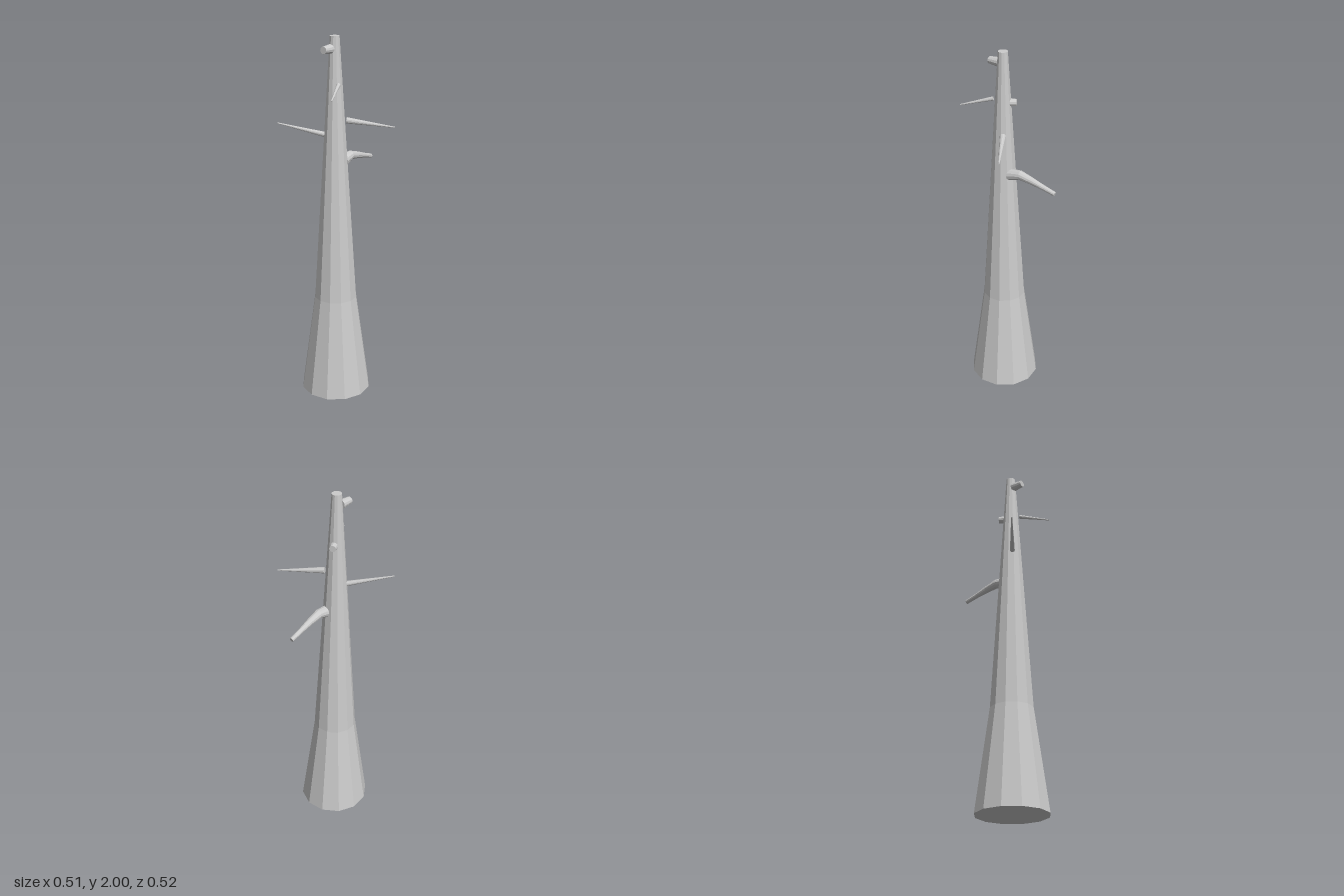
import * as THREE from 'three';

const material = new THREE.MeshStandardMaterial({ color: 0xcccccc, flatShading: true });
const UP = new THREE.Vector3(0, 1, 0);

// Capped, faceted limb through rings of [x, y, z, radius]
function limb(name, rings, sides = 12, turn = 0) {
  const last = rings.length - 1;
  const points = rings.map(([x, y, z]) => new THREE.Vector3(x, y, z));
  const turns = points.map((p, i) => {
    const dir = new THREE.Vector3();
    if (i > 0) dir.add(p.clone().sub(points[i - 1]).normalize());
    if (i < last) dir.add(points[i + 1].clone().sub(p).normalize());
    return new THREE.Quaternion().setFromUnitVectors(UP, dir.normalize());
  });

  // Move each ring of a unit cylinder to its place along the limb
  const cylinder = new THREE.CylinderGeometry(1, 1, 1, sides, last, false, turn);
  const pos = cylinder.attributes.position;
  const v = new THREE.Vector3();
  for (let k = 0; k < pos.count; k++) {
    const i = Math.round((pos.getY(k) + 0.5) * last);
    const r = rings[i][3];
    v.set(pos.getX(k) * r, 0, pos.getZ(k) * r).applyQuaternion(turns[i]).add(points[i]);
    pos.setXYZ(k, v.x, v.y, v.z);
  }
  const geometry = cylinder.toNonIndexed();
  geometry.computeVertexNormals();
  const mesh = new THREE.Mesh(geometry, material);
  mesh.name = name;
  return mesh;
}

export function createModel() {
  const model = new THREE.Group();
  model.name = 'deadTree';

  // Trunk with a flared foot
  const cx = -0.015, cz = 0.068;
  model.add(limb('trunk', [
    [cx, 0, cz, 0.195],
    [cx, 0.56, cz, 0.118],
    [cx, 2, cz, 0.026],
  ], 12, THREE.MathUtils.degToRad(20.4)));

  // Thick bent branch at the back
  model.add(limb('bentBranch', [
    [0.003, 1.335, 0.02, 0.032],
    [0.001, 1.348, -0.05, 0.025],
    [-0.001, 1.333, -0.12, 0.019],
    [-0.004, 1.314, -0.19, 0.014],
    [-0.006, 1.295, -0.26, 0.012],
  ]));

  // Thin pointed branches
  model.add(limb('leftBranch', [[0.036, 1.562, 0.036, 0.017], [0.255, 1.53, -0.09, 0.003]]));
  model.add(limb('rightBranch', [[-0.056, 1.488, 0.107, 0.014], [-0.255, 1.55, 0.25, 0.003]]));
  model.add(limb('frontBranch', [[0.03, 1.757, 0.098, 0.011], [0.1, 1.71, 0.257, 0.003]]));

  // Short broken stubs
  model.add(limb('frontStub', [[-0.023, 1.935, 0.09, 0.025], [-0.023, 1.935, 0.155, 0.019]]));
  model.add(limb('backStub', [[-0.029, 1.73, 0.036, 0.021], [-0.046, 1.73, 0.005, 0.018]]));

  return model;
}
